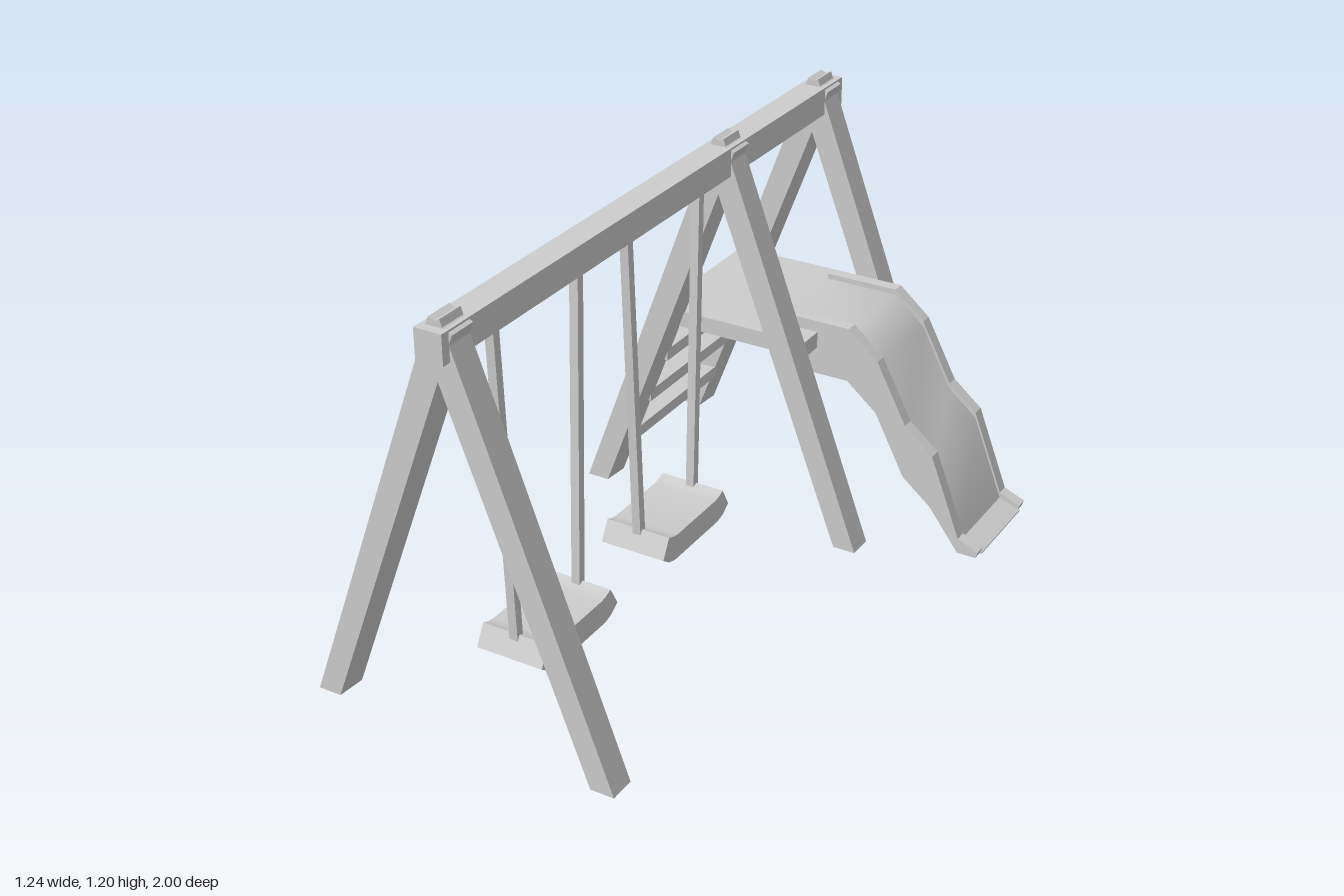
import * as THREE from 'three';
import { toCreasedNormals } from 'three/addons/utils/BufferGeometryUtils.js';

const RIDGE_X = -0.16;

export function createModel() {
  const model = new THREE.Group();
  model.name = 'playground swing set';
  const grey = new THREE.MeshStandardMaterial({ color: 0xcccccc });
  grey.name = 'plain grey';

  const add = (name, geometry, parent = model) => {
    const mesh = new THREE.Mesh(geometry, grey);
    mesh.name = name;
    parent.add(mesh);
    return mesh;
  };
  // Box given by its limits on each axis
  const box = (name, x0, x1, y0, y1, z0, z1, parent) => {
    const g = new THREE.BoxGeometry(x1 - x0, y1 - y0, z1 - z0);
    g.translate((x0 + x1) / 2, (y0 + y1) / 2, (z0 + z1) / 2);
    return add(name, g, parent);
  };
  // Outline extruded along z, starting at z = 0
  const extrude = (points, depth) => new THREE.ExtrudeGeometry(
    new THREE.Shape(points.map(([x, y]) => new THREE.Vector2(x, y))),
    { depth, bevelEnabled: false });

  // Ridge beam
  box('ridgeBeam', RIDGE_X - 0.04, RIDGE_X + 0.04, 1.1, 1.183, -1, 1);

  // Three A-frames, each leg slightly skewed at its back inner edge
  const legOutline = (s) => [[0.46, 0.007], [0.385, 0.007], [0.005, 1.01],
    [-0.05, 1.172], [0.016, 1.205]].map(([x, y]) => [s * x, y]);
  for (const z of [0.89, -0.414, -0.973]) {
    const frame = new THREE.Group();
    frame.name = 'aFrame';
    frame.position.set(RIDGE_X, 0, z);
    model.add(frame);
    for (const s of [-1, 1]) {
      const g = extrude(legOutline(s), 0.083);
      const p = g.attributes.position;
      for (let i = 0; i < p.count; i++) {
        if (p.getZ(i) > 0.04) {
          const inner = Math.abs(p.getX(i) - s * 0.385) < 0.01 || Math.abs(p.getX(i) - s * 0.005) < 0.005;
          if (inner) p.setX(i, p.getX(i) + s * 0.006);
        } else if (Math.abs(p.getX(i) - s * 0.46) < 0.01) {
          p.setZ(i, 0.006);
        }
      }
      g.computeVertexNormals();
      add(s < 0 ? 'rightLeg' : 'leftLeg', g, frame);
    }
  }

  // Platform and ladder rungs
  box('platform', -0.405, 0.08, 0.553, 0.603, -0.9, -0.41);
  for (const [x, y] of [[-0.565, 0.125], [-0.503, 0.28], [-0.443, 0.433]]) {
    box('ladderRung', x, x + 0.07, y, y + 0.036, -0.9, -0.4);
  }

  // Slide: two side walls with a thin bed between them
  const slide = new THREE.Group();
  slide.name = 'slide';
  model.add(slide);
  const top = [[-0.045, 0.637], [0.18, 0.637], [0.275, 0.555], [0.37, 0.373],
    [0.46, 0.297], [0.555, 0.05], [0.62, 0.023]];
  const under = [[0.613, 0.003], [0.555, 0.003], [0.46, 0.13], [0.37, 0.205],
    [0.275, 0.39], [0.18, 0.47], [-0.045, 0.47]];
  const wall = extrude([...top, ...under], 0.037);
  for (const z of [-0.833, -0.527]) add('slideWall', wall, slide).position.z = z;
  const bedTop = top.map(([x, y]) => [x, y - 0.016]);
  const bedUnder = top.map(([x, y]) => [x, Math.max(y - 0.046, 0.003)]).reverse();
  const bed = toCreasedNormals(extrude([...bedTop, ...bedUnder], 0.28), 0.8);
  add('slideBed', bed, slide).position.z = -0.8;

  // Two swings: curved seat hung on two square ropes
  const half = [[0.12, 0.098], [0.152, 0.107], [0.182, 0.128], [0.15, 0.187], [0.128, 0.178], [0.105, 0.174]];
  const seat = toCreasedNormals(
    extrude([...half, ...half.map(([z, y]) => [-z, y]).reverse()], 0.204), 0.8);
  seat.translate(0, 0, -0.102);
  seat.rotateY(Math.PI / 2);
  for (const z of [0.57, -0.034]) {
    const swing = new THREE.Group();
    swing.name = 'swing';
    swing.position.set(RIDGE_X, 0, z);
    model.add(swing);
    add('seat', seat, swing);
    for (const s of [-1, 1]) {
      const rope = new THREE.BoxGeometry(0.026, 0.95, 0.025);
      const p = rope.attributes.position;
      for (let i = 0; i < p.count; i++) {
        p.setZ(i, p.getZ(i) + s * (p.getY(i) > 0 ? 0.185 : 0.146));
      }
      rope.translate(0, 0.64, 0);
      rope.computeVertexNormals();
      add('rope', rope, swing);
    }
  }
  return model;
}
